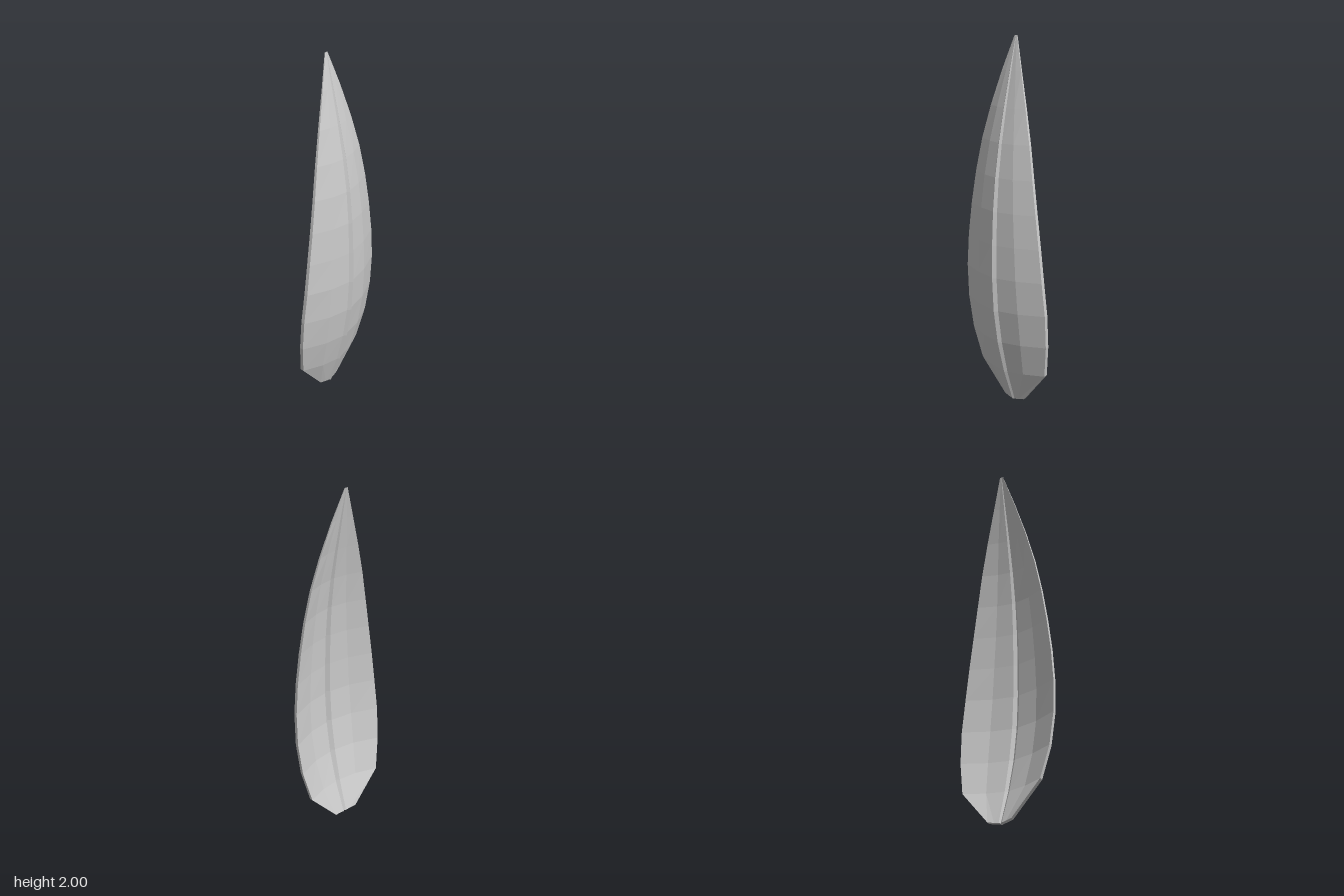
import * as THREE from 'three';

// Rows from base to tip: height, half width, ridge z, back edge z, thickness, ridge height, ridge half width
const ROWS = [
  [0.00, 0.070, -0.065, -0.098, 0.018, 0.006, 0.009],
  [0.18, 0.230, 0.004, -0.087, 0.020, 0.011, 0.014],
  [0.36, 0.267, 0.054, -0.055, 0.020, 0.014, 0.017],
  [0.545, 0.279, 0.085, -0.031, 0.020, 0.015, 0.018],
  [0.73, 0.271, 0.097, -0.013, 0.020, 0.015, 0.018],
  [0.91, 0.254, 0.096, -0.006, 0.019, 0.015, 0.017],
  [1.09, 0.230, 0.089, -0.005, 0.018, 0.014, 0.016],
  [1.27, 0.202, 0.072, -0.009, 0.016, 0.012, 0.014],
  [1.45, 0.168, 0.044, -0.020, 0.014, 0.010, 0.012],
  [1.63, 0.123, 0.006, -0.037, 0.011, 0.008, 0.009],
  [1.82, 0.067, -0.039, -0.060, 0.007, 0.005, 0.006],
  [2.00, 0.009, -0.083, -0.088, 0.003, 0.001, 0.002],
];

// Closed cross-section: front face left to right, then back face right to left
function section([y, half, ridgeZ, edgeZ, thick, ridge, ridgeHalf]) {
  const xs = [-half, -half / 2, -ridgeHalf, 0, ridgeHalf, half / 2, half];
  const bodyZ = ridgeZ - ridge;
  const lift = y < 1.9 ? 0.012 * (1 - y / 1.9) : 0;
  const front = xs.map((x) => {
    const u = Math.abs(x) / half;
    const z = x === 0 ? ridgeZ : THREE.MathUtils.lerp(bodyZ, edgeZ + thick, u * u * (1.1 - 0.1 * u));
    return new THREE.Vector3(x, y + lift * u, z);
  });
  const back = front.map((p) => new THREE.Vector3(p.x, p.y + lift * 0.3, p.z - thick));
  return [...front, ...back.reverse()];
}

function bladeGeometry() {
  const loops = ROWS.map(section);
  const n = loops[0].length;
  const positions = [];
  const quad = (a, b, c, d) => [a, b, c, a, c, d].forEach((p) => positions.push(p.x, p.y, p.z));
  // Skin between neighbouring sections
  for (let i = 0; i < loops.length - 1; i++) {
    for (let j = 0; j < n; j++) {
      const k = (j + 1) % n;
      quad(loops[i][j], loops[i][k], loops[i + 1][k], loops[i + 1][j]);
    }
  }
  // End caps
  const base = loops[0], tip = loops[loops.length - 1];
  for (let j = 0; j < n / 2 - 1; j++) {
    quad(base[n - 1 - j], base[n - 2 - j], base[j + 1], base[j]);
    quad(tip[j], tip[j + 1], tip[n - 2 - j], tip[n - 1 - j]);
  }
  const geometry = new THREE.BufferGeometry();
  geometry.setAttribute('position', new THREE.Float32BufferAttribute(positions, 3));
  geometry.computeVertexNormals();
  return geometry;
}

export function createModel() {
  const group = new THREE.Group();
  group.name = 'leaf';
  // Curved blade with a raised midrib in front and a matching groove behind
  const blade = new THREE.Mesh(
    bladeGeometry(),
    new THREE.MeshStandardMaterial({ color: 0xcccccc, flatShading: true })
  );
  blade.name = 'leafBlade';
  group.add(blade);
  return group;
}
